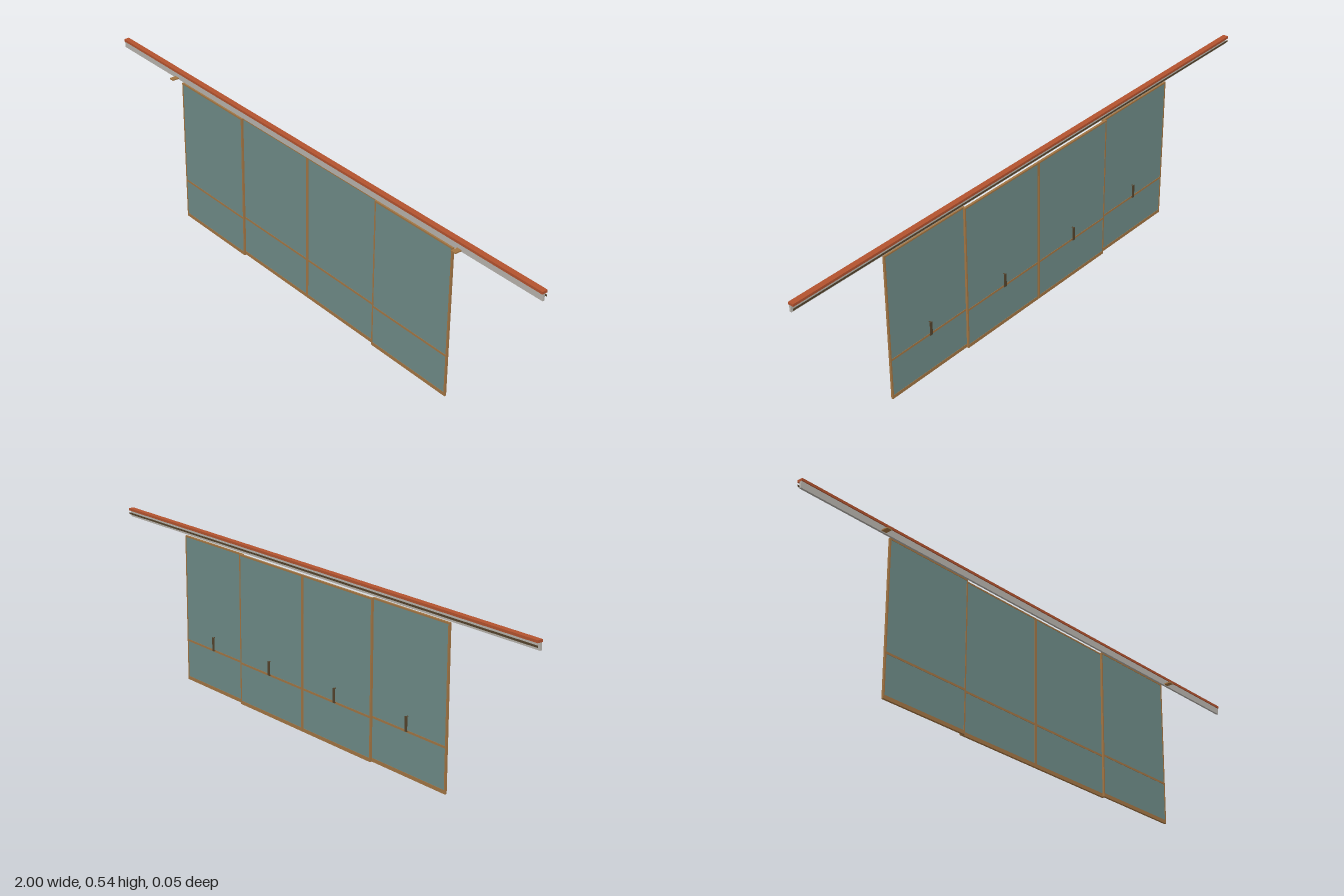
import * as THREE from 'three';

const mat = (name, color) => {
  const m = new THREE.MeshStandardMaterial({ color });
  m.name = name;
  return m;
};

export function createModel() {
  const model = new THREE.Group();
  model.name = 'slidingGlassScreen';

  const glass = mat('greyGreenGlass', 0x6f8c88);
  const bronze = mat('bronzeFrame', 0xa37644);
  const rust = mat('rustCap', 0xb3532f);
  const grey = mat('paleGreyTrack', 0xb9b5ae);
  const dark = mat('darkHandle', 0x54432c);

  // Box given by its min and max on each axis
  function box(parent, name, material, x0, x1, y0, y1, z0, z1) {
    const mesh = new THREE.Mesh(new THREE.BoxGeometry(x1 - x0, y1 - y0, z1 - z0), material);
    mesh.position.set((x0 + x1) / 2, (y0 + y1) / 2, (z0 + z1) / 2);
    mesh.name = name;
    parent.add(mesh);
  }

  // Overhead track: cap, front fascia and rear lip
  const track = new THREE.Group();
  track.name = 'track';
  model.add(track);
  box(track, 'trackCap', rust, -1, 1, 0.535, 0.543, -0.016, 0.003);
  box(track, 'trackFascia', grey, -1, 1, 0.513, 0.535, -0.007, 0);
  box(track, 'trackRearLip', dark, -1, 1, 0.522, 0.528, -0.0148, -0.0138);

  // Stops projecting from the fascia
  for (const x of [-0.683, 0.683]) {
    box(track, 'trackStop', bronze, x - 0.009, x + 0.009, 0.515, 0.519, -0.002, 0.024);
  }

  // One framed pane with a pull handle at the back
  function panel(x0, x1, zFront) {
    const g = new THREE.Group();
    g.name = 'panel';
    const top = 0.508, w = 0.005, zBack = zFront - 0.007;
    box(g, 'pane', glass, x0 + w, x1 - w, 0.01, top - 0.004, zBack + 0.001, zFront - 0.001);
    box(g, 'stile', bronze, x0, x0 + w, 0, top, zBack, zFront);
    box(g, 'stile', bronze, x1 - w, x1, 0, top, zBack, zFront);
    box(g, 'bottomRail', bronze, x0 + w, x1 - w, 0, 0.012, zBack, zFront);
    box(g, 'middleRail', bronze, x0 + w, x1 - w, 0.138, 0.145, zBack, zFront);
    box(g, 'topRail', bronze, x0 + w, x1 - w, top - 0.005, top, zBack, zFront);
    const x = (x0 + x1) / 2;
    box(g, 'handle', dark, x - 0.005, x + 0.005, 0.143, 0.19, zBack - 0.0075, zBack - 0.0055);
    for (const y of [0.143, 0.189]) {
      box(g, 'handlePost', dark, x - 0.002, x + 0.002, y, y + 0.001, zBack - 0.006, zBack + 0.001);
    }
    model.add(g);
  }

  // Outer panels run in front of the inner pair and overlap them slightly
  panel(-0.656, -0.325, 0);
  panel(-0.333, -0.0005, -0.0075);
  panel(0.0005, 0.333, -0.0075);
  panel(0.325, 0.656, 0);

  return model;
}
